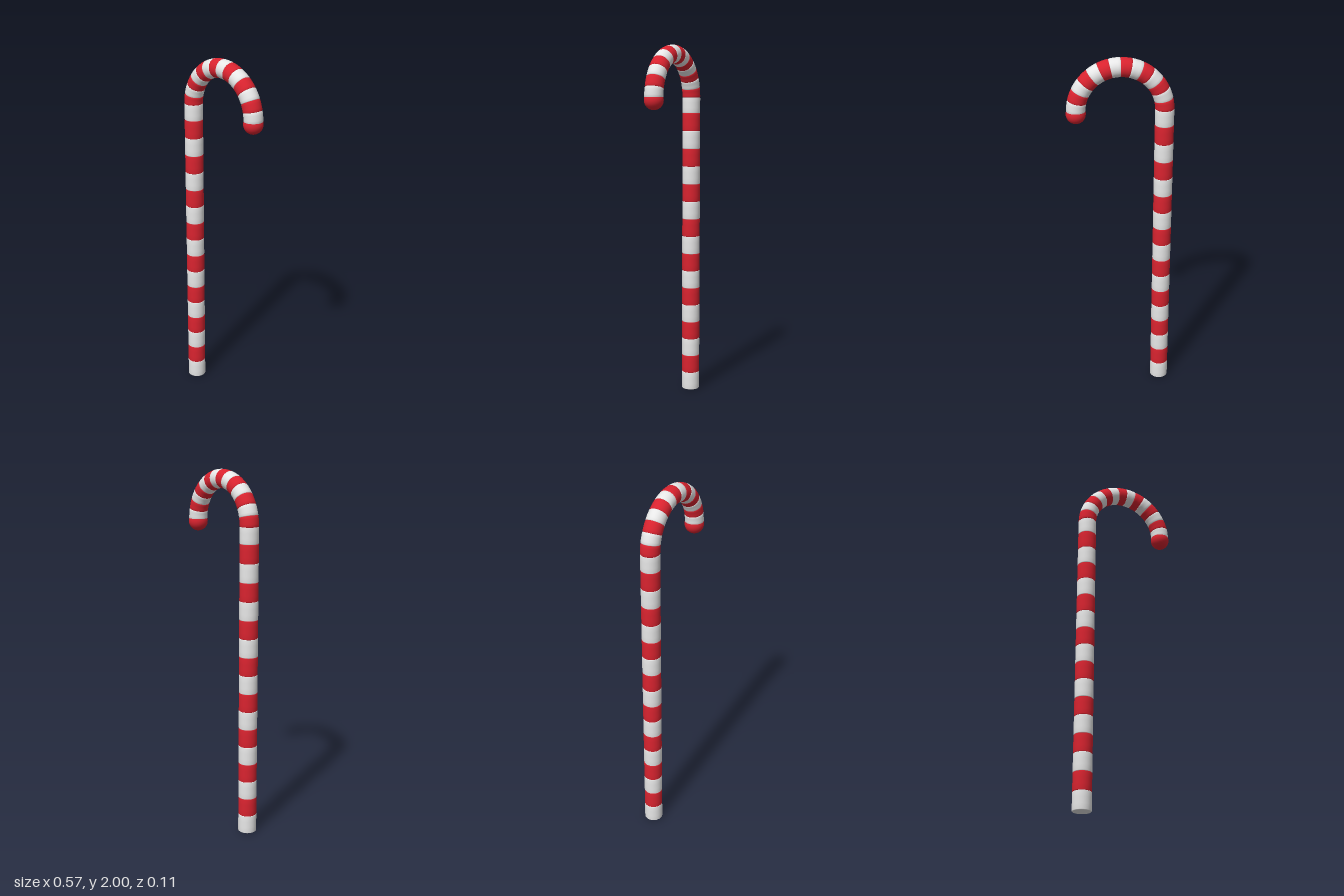
import * as THREE from 'three';

const RADIUS = 0.051;      // thickness of the cane
const BEVEL = 0.003;       // softened band edges
const BEND = 0.234;        // radius of the hook's centre line
const HOOK_Y = 1.715;      // height where the hook begins
const SIDES = 32;

// One candy band standing on y = 0, with a small groove at both ends
function bandGeometry(length, steps, closedBottom) {
  const profile = closedBottom ? [new THREE.Vector2(0, 0)] : [];
  profile.push(new THREE.Vector2(RADIUS - BEVEL, 0));
  for (let i = 0; i <= steps; i++) {
    profile.push(new THREE.Vector2(RADIUS, BEVEL + (length - 2 * BEVEL) * i / steps));
  }
  profile.push(new THREE.Vector2(RADIUS - BEVEL, length));
  return new THREE.LatheGeometry(profile, SIDES);
}

// Wrap a standing band around the z axis, starting on the -x side
function bend(geometry) {
  const pos = geometry.attributes.position;
  const nor = geometry.attributes.normal;
  const axis = new THREE.Vector3(0, 0, 1);
  const n = new THREE.Vector3();
  for (let i = 0; i < pos.count; i++) {
    const angle = pos.getY(i) / BEND;
    const d = BEND - pos.getX(i);
    pos.setXY(i, -d * Math.cos(angle), d * Math.sin(angle));
    n.fromBufferAttribute(nor, i).applyAxisAngle(axis, -angle);
    nor.setXYZ(i, n.x, n.y, n.z);
  }
  return geometry;
}

export function createModel() {
  const red = new THREE.MeshStandardMaterial({ color: 0xd9232f });
  red.name = 'candyRed';
  const white = new THREE.MeshStandardMaterial({ color: 0xe8e8e8 });
  white.name = 'candyWhite';

  const model = new THREE.Group();
  model.name = 'candyCane';
  const add = (parent, name, geometry, material) => {
    const mesh = new THREE.Mesh(geometry, material);
    mesh.name = name;
    parent.add(mesh);
    return mesh;
  };

  // Straight shaft: 17 bands, white at both ends
  const shaft = new THREE.Group();
  shaft.name = 'shaft';
  shaft.position.x = -BEND;
  model.add(shaft);
  const step = 0.1016;
  for (let i = 0; i < 17; i++) {
    const length = Math.min(step, HOOK_Y - i * step);
    const band = add(shaft, 'shaftBand' + (i + 1), bandGeometry(length, 3, i === 0), i % 2 ? red : white);
    band.position.y = i * step;
  }

  // Half-circle hook: 14 bands, red first
  const hook = new THREE.Group();
  hook.name = 'hook';
  hook.position.y = HOOK_Y;
  model.add(hook);
  const turn = Math.PI / 14;
  const hookBand = bend(bandGeometry(BEND * turn, 4, false));
  for (let i = 0; i < 14; i++) {
    add(hook, 'hookBand' + (i + 1), hookBand, i % 2 ? white : red).rotation.z = -i * turn;
  }

  // Round tip closing the hook
  const tip = add(model, 'tip', new THREE.SphereGeometry(0.053, SIDES, 20), red);
  tip.position.set(BEND, 1.702, 0);

  return model;
}
